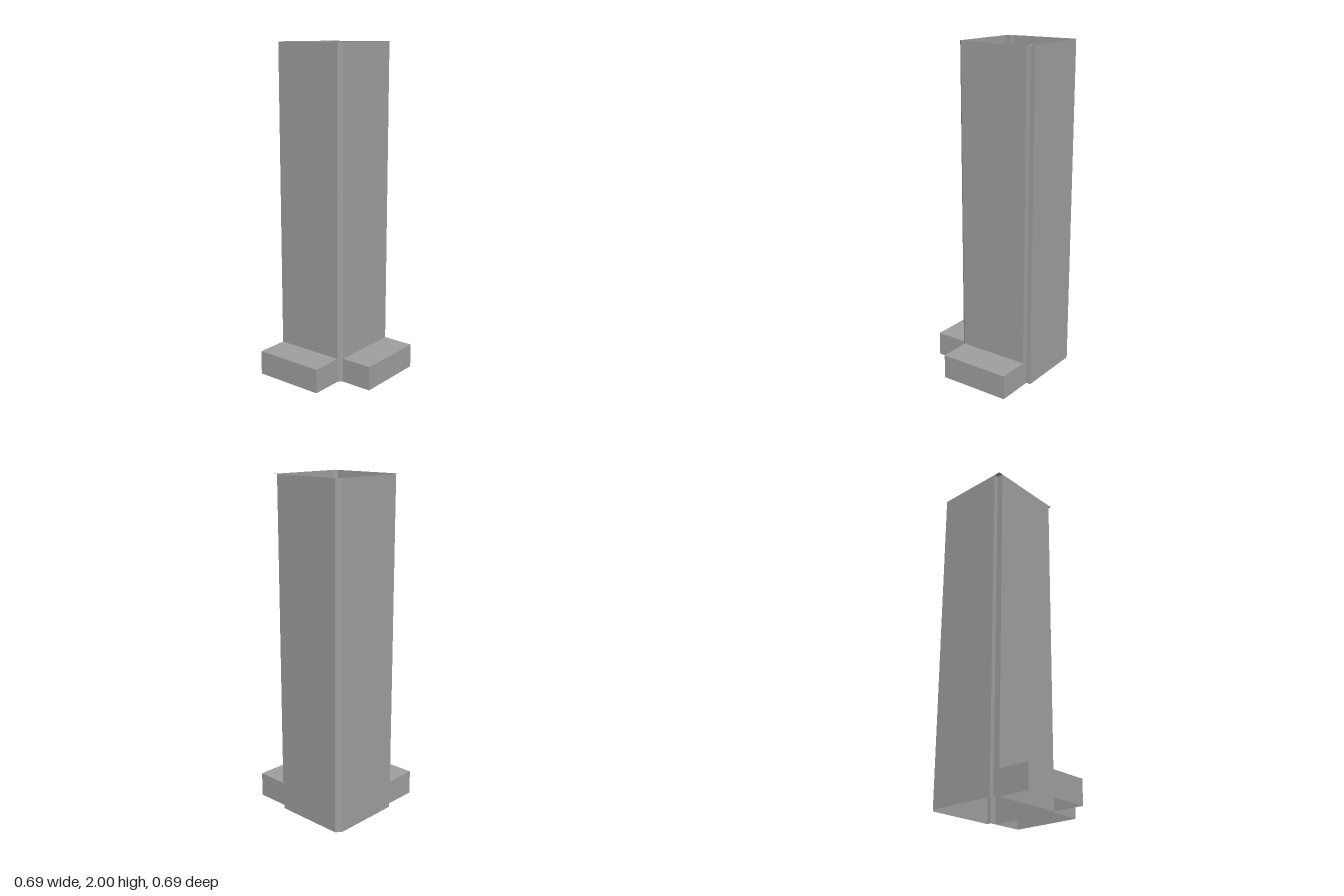
import * as THREE from 'three';

const material = new THREE.MeshStandardMaterial({
  color: 0x9f9f9f, flatShading: true, side: THREE.DoubleSide,
});

function addMesh(parent, name, geometry) {
  const mesh = new THREE.Mesh(geometry, material);
  mesh.name = name;
  parent.add(mesh);
}

// Thin vertical sheet standing on y = 0 along a path of [x, z] points
function sheet(path, height) {
  const positions = [];
  for (let i = 0; i < path.length - 1; i++) {
    const [ax, az] = path[i];
    const [bx, bz] = path[i + 1];
    positions.push(ax, 0, az, bx, 0, bz, bx, height, bz);
    positions.push(ax, 0, az, bx, height, bz, ax, height, az);
  }
  const geometry = new THREE.BufferGeometry();
  geometry.setAttribute('position', new THREE.Float32BufferAttribute(positions, 3));
  geometry.computeVertexNormals();
  return geometry;
}

// Flat horizontal plate with the given [x, z] outline, facing up
function plate(outline, y) {
  const shape = new THREE.Shape(outline.map(([x, z]) => new THREE.Vector2(x, -z)));
  return new THREE.ShapeGeometry(shape).rotateX(-Math.PI / 2).translate(0, y, 0);
}

export function createModel() {
  const model = new THREE.Group();
  model.name = 'tower';

  const height = 2, stepHeight = 0.147;
  // Outer faces of the shaft, and where its corner cuts begin
  const x0 = -0.343, x0In = -0.315, x1In = 0.124, x1 = 0.147;
  const z0 = -0.345, z0In = -0.317, z1In = 0.122, z1 = 0.145;
  // Long sides of the corner notches
  const notchX = 0.108, notchZ = 0.106;
  // Far faces of the steps
  const stepX = 0.342, stepZ = 0.343;

  // Open shaft: two chamfered corners, two notched corners
  addMesh(model, 'shaftWalls', sheet([
    [x0In, z1], [x1In, z1],                     // front wall
    [x1, z1In], [x1, z0In],                     // chamfer, left wall
    [notchX, z0In], [notchX, z0],               // notch
    [x0In, z0], [x0, z0In],                     // back wall, chamfer
    [x0, notchZ], [x0In, notchZ], [x0In, z1],   // right wall, notch
  ], height));

  // Small plates covering the corner cuts at the top
  addMesh(model, 'frontCornerCap', plate([[x1In, z1], [x1, z1], [x1, z1In]], height));
  addMesh(model, 'backNotchCap',
    plate([[notchX, z0In], [x1, z0In], [x1, z0], [notchX, z0]], height));
  addMesh(model, 'sideNotchCap',
    plate([[x0, z1], [x0In, z1], [x0In, notchZ], [x0, notchZ]], height));

  // Two low steps, open underneath and against the shaft
  const steps = {
    frontStep: [[x0In, z1], [x0In, stepZ], [x1In, stepZ], [x1In, z1]],
    sideStep: [[x1, z1In], [stepX, z1In], [stepX, z0In], [x1, z0In]],
  };
  for (const [name, path] of Object.entries(steps)) {
    const step = new THREE.Group();
    step.name = name;
    addMesh(step, name + 'Sides', sheet(path, stepHeight));
    addMesh(step, name + 'Top', plate(path, stepHeight));
    model.add(step);
  }
  return model;
}
